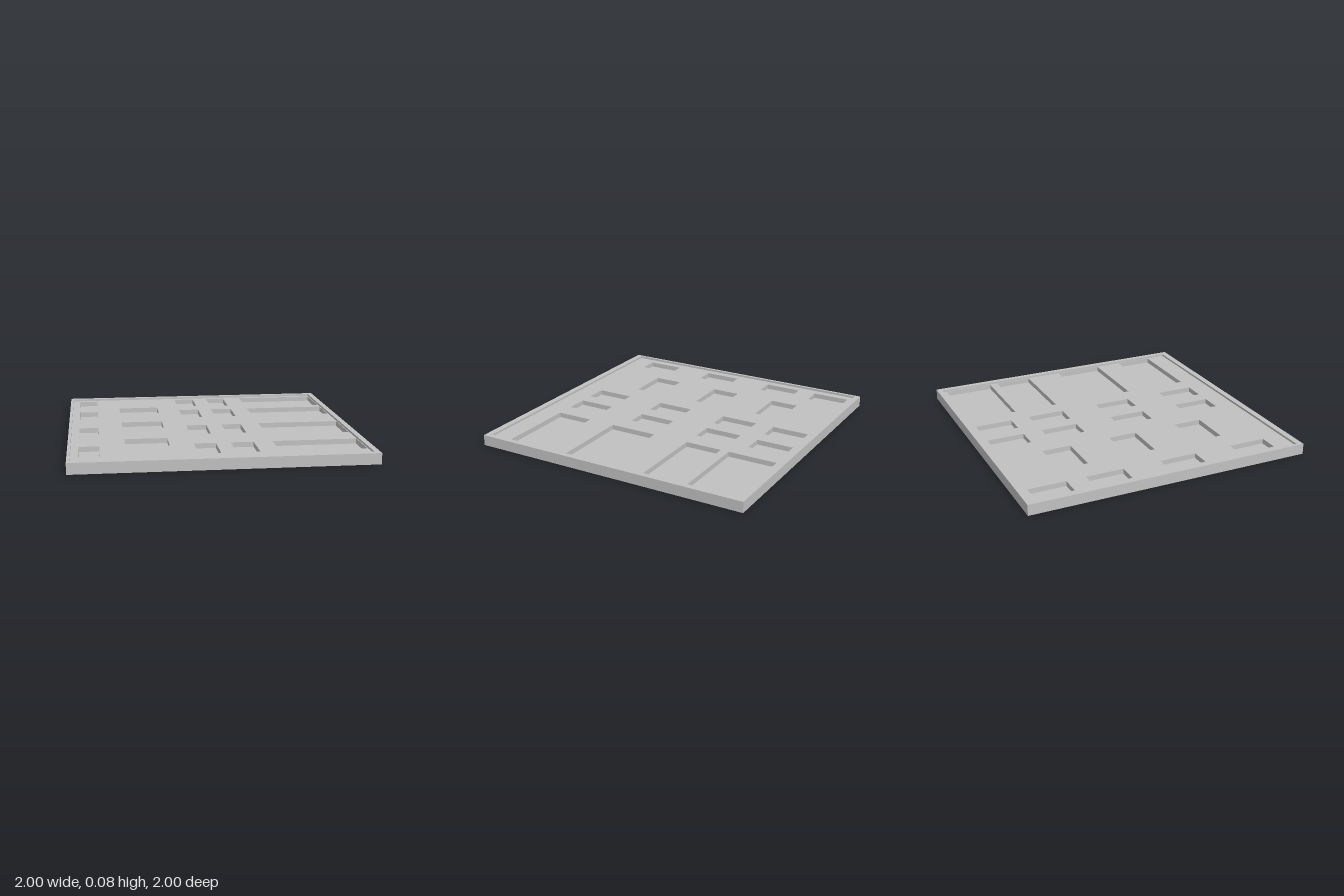
import * as THREE from 'three';

const HEIGHT = 0.075, FLOOR = 0.06, POCKET_BOTTOM = 0.025;

// Corner points of a rectangle in x and z
const rect = ([x0, x1, z0, z1]) => [[x0, z0], [x1, z0], [x1, z1], [x0, z1]].map(p => new THREE.Vector2(...p));

// Rectangle with rectangular holes
function panel(outer, holes) {
  const shape = new THREE.Shape(rect(outer));
  holes.forEach(h => shape.holes.push(new THREE.Path(rect(h))));
  return shape;
}

// Open-topped box: a box without its upper face
function pocketGeometry([x0, x1, z0, z1]) {
  const h = FLOOR - POCKET_BOTTOM;
  const geo = new THREE.BoxGeometry(x1 - x0, h, z1 - z0);
  const index = Array.from(geo.index.array);
  index.splice(12, 6);
  geo.setIndex(index);
  geo.clearGroups();
  return geo.translate((x0 + x1) / 2, POCKET_BOTTOM + h / 2, (z0 + z1) / 2);
}

export function createModel() {
  const group = new THREE.Group();
  const grey = new THREE.MeshStandardMaterial({ color: 0xc0c0c0, side: THREE.DoubleSide });
  grey.name = 'light grey';
  const add = (name, geo) => {
    const mesh = new THREE.Mesh(geo, grey);
    mesh.name = name;
    group.add(mesh);
  };

  const inner = [-0.98, 0.962, -0.965, 0.957];

  // Pocket layout: four rows of small pockets, a staggered column and wide bays
  const rows = [[-0.925, -0.66], [-0.525, -0.26], [0.01, 0.275], [0.547, 0.812]];
  const pockets = [];
  rows.forEach(([z0, z1], i) => {
    pockets.push([-0.925, -0.79, z0, z1], [-0.16, -0.012, z0, z1]);
    pockets.push(i % 2 ? [0.09, 0.245, z0, z1] : [0.1, 0.24, z0, z1]);
  });
  [-0.64, -0.145, 0.372].forEach(z => pockets.push([-0.62, -0.325, z, z + 0.203]));
  [[-0.93, -0.58], [-0.52, -0.258], [0, 0.348], [0.545, 0.812]]
    .forEach(([z0, z1]) => pockets.push([0.375, 0.957, z0, z1]));

  // Outer wall, full height and open underneath
  const rim = new THREE.ExtrudeGeometry(panel([-1, 1, -1, 1], [inner]), { depth: HEIGHT, bevelEnabled: false });
  add('rim', rim.rotateX(Math.PI / 2).translate(0, HEIGHT, 0));

  // Recessed floor sheet with an opening over every pocket
  const floor = new THREE.ShapeGeometry(panel(inner, pockets));
  add('floor', floor.rotateX(Math.PI / 2).translate(0, FLOOR, 0));

  pockets.forEach(p => add('pocket', pocketGeometry(p)));
  return group;
}
